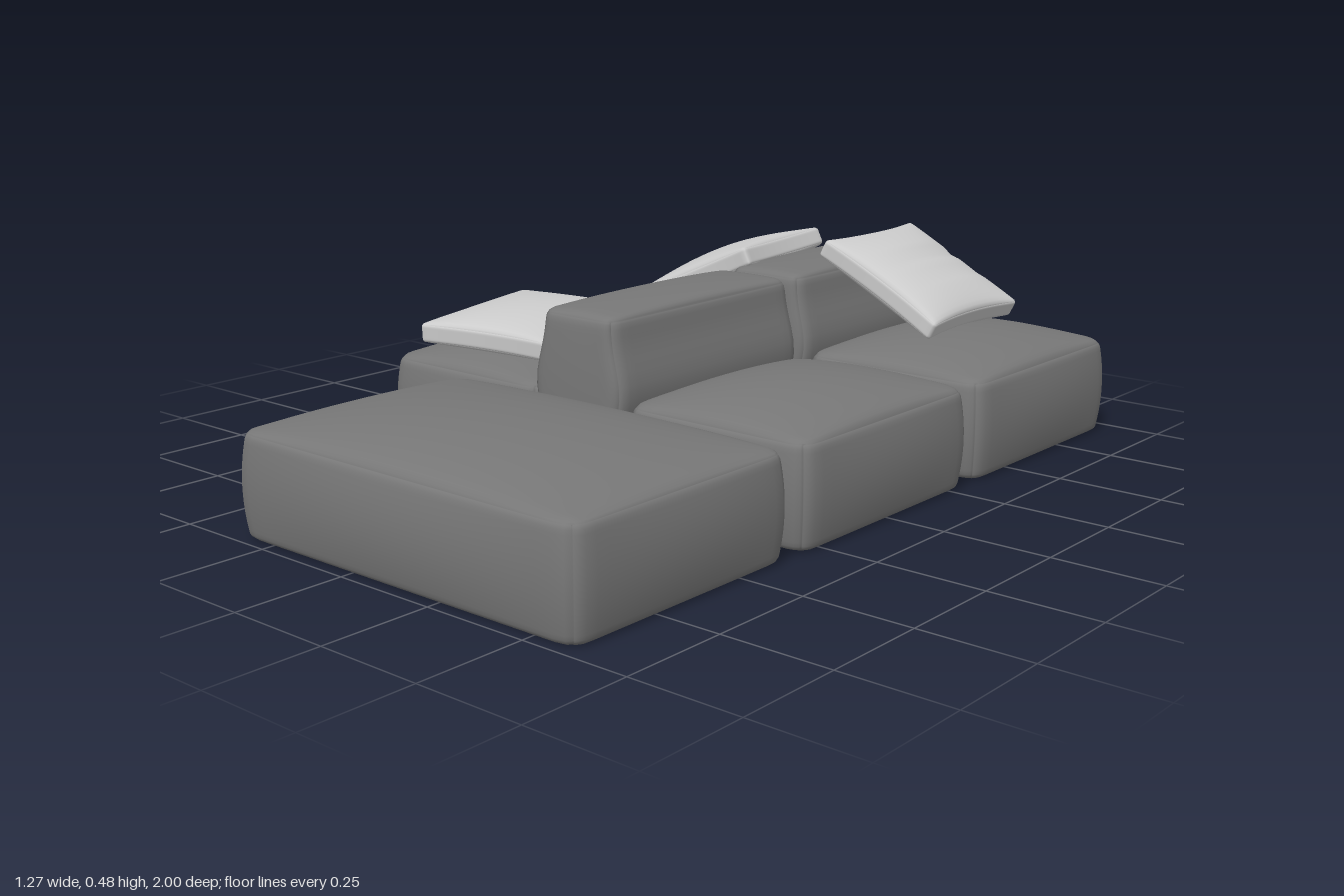
import * as THREE from 'three';
import { mergeVertices } from 'three/addons/utils/BufferGeometryUtils.js';

const fabric = new THREE.MeshStandardMaterial({ color: 0x777777 });
const linen = new THREE.MeshStandardMaterial({ color: 0xcccccc });

// Shrinks the overhang of a point past an inner box so that box corners become round.
function roundAxes(p, half, axes, r) {
  const over = axes.map((a) => Math.max(0, Math.abs(p[a]) - (half[a] - r)));
  const length = Math.hypot(...over);
  if (length < 1e-9) return;
  const k = Math.max(...over) / length;
  axes.forEach((a, i) => {
    if (over[i] > 0) p[a] = Math.sign(p[a]) * (half[a] - r + over[i] * k);
  });
}

// Box with soft edges, then deformed by shape(p, u, v, w), with u, v, w in -1..1.
function softBlock(w, h, d, edge, corner, shape) {
  const n = 20;
  let geo = new THREE.BoxGeometry(2, 2, 2, n, n, n);
  geo.deleteAttribute('normal');
  geo.deleteAttribute('uv');
  geo = mergeVertices(geo, 1e-4);
  const pos = geo.attributes.position;
  const half = { x: w / 2, y: h / 2, z: d / 2 };
  for (let i = 0; i < pos.count; i++) {
    // rows gather towards the edges
    const [a, b, c] = [pos.getX(i), pos.getY(i), pos.getZ(i)].map((t) => Math.sin((t * Math.PI) / 2));
    const p = { x: a * half.x, y: b * half.y, z: c * half.z };
    roundAxes(p, half, ['x', 'y', 'z'], edge);
    roundAxes(p, half, ['x', 'z'], corner);
    shape(p, a, b, c);
    pos.setXYZ(i, p.x, p.y, p.z);
  }
  geo.computeVertexNormals();
  return geo;
}

const dome = (u, w, power) => Math.pow(Math.max(0, (1 - u * u) * (1 - w * w)), power);

// Upholstered block given by its outer x and z limits
function seat(name, x0, x1, z0, z1) {
  const bulge = 0.018, h = 0.23;
  const w = x1 - x0 - 2 * bulge, d = z1 - z0 - 2 * bulge;
  const geo = softBlock(w, h, d, 0.014, 0.045, (p, u, v, t) => {
    const belly = bulge * (1 - v * v);
    p.x += u * belly * (0.5 + 0.5 * (1 - t * t));
    p.z += t * belly * (0.5 + 0.5 * (1 - u * u));
    p.y += 0.052 * dome(u, t, 0.65) * (v + 1) / 2;
  });
  const mesh = new THREE.Mesh(geo, fabric);
  mesh.name = name;
  mesh.position.set((x0 + x1) / 2, h / 2 + 0.006, (z0 + z1) / 2);
  return mesh;
}

// Tall narrow block, widest just above the seats and tapering to the top
function backrest(name, z0, z1) {
  const h = 0.415, bulge = 0.012;
  const geo = softBlock(0.21, h, z1 - z0 - 2 * bulge, 0.018, 0.03, (p, u, v, t) => {
    p.x += u * 0.03 * Math.exp(-Math.pow((v - 0.2) / 0.45, 2));
    p.z += t * bulge * (1 - v * v) * (1 - 0.5 * u * u);
    p.y += 0.018 * dome(u, t, 0.5) * (v + 1) / 2;
  });
  const mesh = new THREE.Mesh(geo, fabric);
  mesh.name = name;
  mesh.position.set(0, h / 2 + 0.006, (z0 + z1) / 2);
  return mesh;
}

// Throw cushion with pulled-out corners; fold sets the depth of its creases
function cushion(name, position, yaw, tilt, pitch, o = {}) {
  const { w = 0.38, d = 0.4, edge = 0.045, top = 0.035, under = 0.03, fold = 0 } = o;
  const geo = softBlock(w, edge, d, 0.008, 0.012, (p, u, v, t) => {
    p.x -= u * 0.014 * (1 - t * t);
    p.z -= t * 0.014 * (1 - u * u);
    p.y += v * (v > 0 ? top : under) * dome(u, t, 0.6);
    const crease = Math.exp(-Math.pow((u + 0.12) / 0.09, 2)) + 0.6 * Math.exp(-Math.pow((u - 0.25) / 0.1, 2));
    if (v > 0) p.y -= fold * v * crease * (1 - t) / 2 * Math.sqrt(1 - t * t);
  });
  const mesh = new THREE.Mesh(geo, linen);
  mesh.name = name;
  mesh.position.set(...position);
  mesh.rotation.set(pitch, yaw, tilt, 'YXZ');
  return mesh;
}

export function createModel() {
  const group = new THREE.Group();
  group.name = 'modularSofa';

  // Seat modules on both sides of the spine, and the offset front block
  group.add(
    seat('backRightSeat', -0.635, -0.117, -1.0, -0.333),
    seat('backLeftSeat', 0.117, 0.632, -0.98, -0.328),
    seat('frontRightSeat', -0.635, -0.117, -0.322, 0.337),
    seat('frontLeftSeat', 0.117, 0.632, -0.318, 0.332),
    seat('ottoman', -0.362, 0.625, 0.343, 0.997),
  );

  // Central spine
  group.add(backrest('backBackrest', -0.988, -0.33), backrest('frontBackrest', -0.32, 0.34));

  // Cushions: one lying flat, two leaning against the spine
  group.add(
    cushion('flatCushion', [-0.367, 0.313, 0.088], 0.12, 0, 0.05, { top: 0.03, under: 0.02 }),
    cushion('rightLeaningCushion', [-0.263, 0.375, -0.54], 0.14, 0.43, 0, { w: 0.37 }),
    cushion('leftLeaningCushion', [0.225, 0.385, -0.695], 0, -0.48, 0, { w: 0.375, d: 0.39, fold: 0.022 }),
  );
  return group;
}
